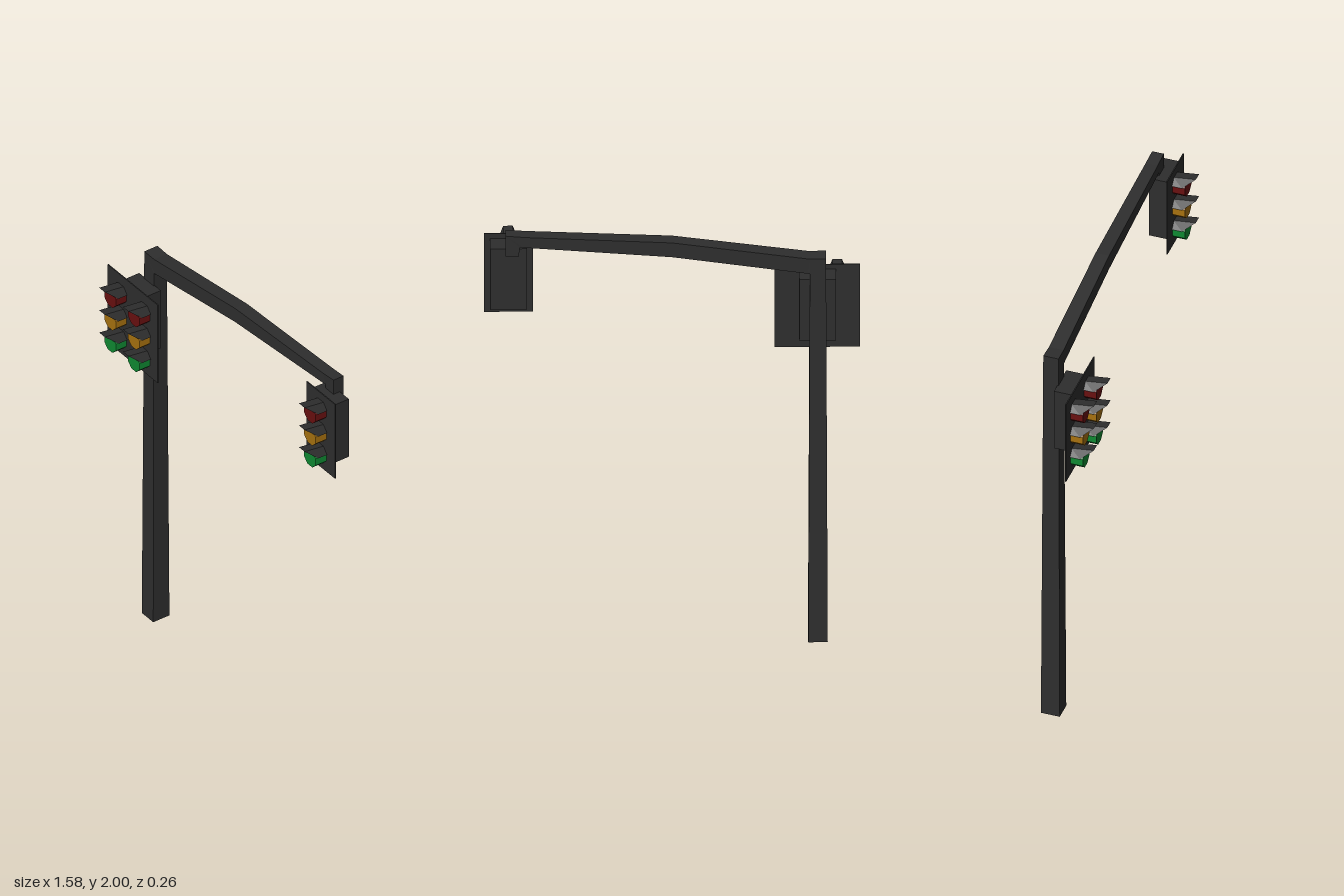
import * as THREE from 'three';

const paint = (color, side = THREE.FrontSide) =>
  new THREE.MeshStandardMaterial({ color, flatShading: true, side });
const dark = paint(0x2e2e2e);
const darkThin = paint(0x2e2e2e, THREE.DoubleSide);
const lampColors = [paint(0x6a1010), paint(0xa8720f), paint(0x0f8a32)];

function add(parent, name, geometry, material, x = 0, y = 0, z = 0) {
  const mesh = new THREE.Mesh(geometry, material);
  mesh.name = name;
  mesh.position.set(x, y, z);
  parent.add(mesh);
  return mesh;
}

function build(positions, index) {
  const g = new THREE.BufferGeometry();
  g.setAttribute('position', new THREE.Float32BufferAttribute(positions, 3));
  g.setIndex(index);
  const flat = g.toNonIndexed();
  flat.computeVertexNormals();
  return flat;
}

// Square tube through sections [outerX, outerY, innerX, innerY, halfDepth]
function squareTube(sections) {
  const pos = [], idx = [0, 1, 2, 0, 2, 3];
  for (const [ox, oy, ix, iy, h] of sections)
    pos.push(ox, oy, h, ox, oy, -h, ix, iy, -h, ix, iy, h);
  for (let s = 0; s < sections.length - 1; s++)
    for (let k = 0; k < 4; k++) {
      const a = s * 4 + k, b = s * 4 + (k + 1) % 4;
      idx.push(a, a + 4, b, b, a + 4, b + 4);
    }
  const e = (sections.length - 1) * 4;
  idx.push(e, e + 2, e + 1, e, e + 3, e + 2);
  return build(pos, idx);
}

// Open hood: three facets over the lamp, the top one reaching furthest
function hoodGeometry() {
  const pos = [], idx = [];
  for (const [x, back, front, z] of [
    [-0.046, 0.018, 0.018, 0.047], [-0.02, 0.047, 0.06, 0.1],
    [0.02, 0.047, 0.06, 0.1], [0.046, 0.018, 0.018, 0.047],
  ]) pos.push(x, back, 0, x, front, z);
  for (let i = 0; i < 6; i += 2) idx.push(i, i + 1, i + 2, i + 2, i + 1, i + 3);
  return build(pos, idx);
}

const lampGeometry = new THREE.CylinderGeometry(0.045, 0.045, 0.058, 8)
  .rotateY(Math.PI / 8).rotateX(Math.PI / 2).translate(0, 0, 0.029);
const hood = hoodGeometry();

// Signal head with its origin at the middle of the backplate
function signalHead(name, width, height, boxY, columns, lampYs) {
  const head = new THREE.Group();
  head.name = name;
  add(head, 'backplate', new THREE.BoxGeometry(width, height, 0.005), dark);
  add(head, 'housing', new THREE.BoxGeometry(0.155, 0.3, 0.088), dark, 0, boxY, -0.044);
  for (const x of columns)
    lampYs.forEach((y, i) => {
      add(head, ['redLamp', 'amberLamp', 'greenLamp'][i], lampGeometry, lampColors[i], x, y);
      add(head, 'lampHood', hood, darkThin, x, y);
    });
  return head;
}

export function createModel() {
  const model = new THREE.Group();
  model.name = 'trafficSignal';

  // Tapering post, bent arm and short drop at the far end
  add(model, 'postAndArm', squareTube([
    [-0.655, 0, -0.573, 0, 0.042],
    [-0.648, 1.88, -0.58, 1.805, 0.034],
    [-0.58, 1.878, -0.57, 1.807, 0.033],
    [0, 1.962, 0, 1.892, 0.03],
    [0.62, 1.993, 0.625, 1.943, 0.027],
    [0.7, 2.0, 0.64, 1.945, 0.026],
    [0.7, 1.9, 0.645, 1.9, 0.026],
  ]), dark, 0, 0, -0.089);

  // Double head on the post
  const double = signalHead('doubleSignal', 0.36, 0.405, 0.03, [-0.085, 0.085], [0.107, -0.01, -0.126]);
  double.position.set(-0.614, 1.56, 0.028);

  // Single head at the end of the arm
  const single = signalHead('singleSignal', 0.206, 0.385, 0.018, [0], [0.108, -0.007, -0.12]);
  single.position.set(0.687, 1.758, -0.008);

  model.add(double, single);
  return model;
}
